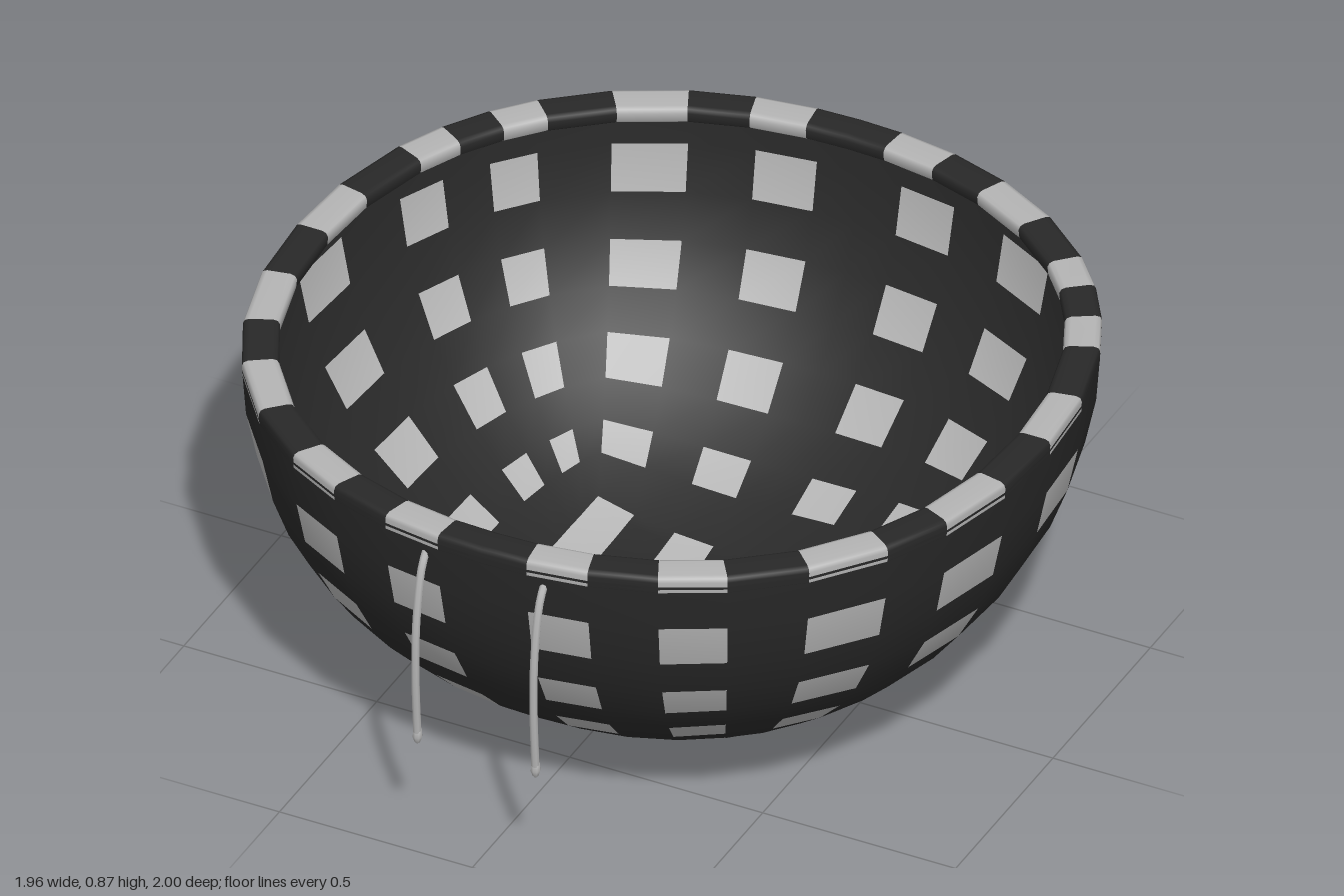
import * as THREE from 'three';
import { mergeVertices } from 'three/addons/utils/BufferGeometryUtils.js';

const DARK = 0x282828, GREY = 0xb4b4b4;
const R = 0.978, H = 0.87, ZC = -0.023;
const P = 2.16; // squareness of the outline from above
const K = 2.2; // fullness of the side profile

// Relative radius (0 centre, 1 rim) on the slightly squared outline, and bowl height there
const rho = (x, z) => Math.pow(Math.abs(x) ** P + Math.abs(z - ZC) ** P, 1 / P) / R;
const height = (r) => H * (1 - Math.max(0, 1 - r ** K) ** (1 / K));
const radiusAt = (y) => (1 - (1 - y / H) ** K) ** (1 / K);

// Slide a plan point along its ray from the centre to relative radius r
function slide([x, z], r) {
  const k = r / rho(x, z);
  return [x * k, ZC + (z - ZC) * k];
}

// Half outlines from back to front: column edges at the rim and at the floor
const rimHalf = [[0, -1], [0.11, -0.995], [0.26, -0.98], [0.41, -0.926], [0.566, -0.84],
  [0.71, -0.735], [0.79, -0.645], [0.855, -0.535], [0.91, -0.42], [0.96, -0.22], [0.97, -0.03],
  [0.95, 0.17], [0.9, 0.365], [0.83, 0.52], [0.71, 0.68], [0.56, 0.8], [0.42, 0.88],
  [0.265, 0.94], [0.115, 0.95], [0, 0.95]];
const F = [0, 0.17, 0.45, 0.74, 1];
const BACK = [0.36, -0.36], FRONT = [0.365, 0.42];
const side = [[0.365, -0.33], [0.37, -0.29], [0.375, -0.25], [0.38, -0.19], [0.385, -0.12],
  [0.385, -0.03], [0.385, 0.09], [0.38, 0.18], [0.375, 0.29], [0.37, 0.36]];
const floorHalf = [
  ...F.map((f) => [f * BACK[0], BACK[1]]),
  ...side,
  ...[...F].reverse().map((f) => [f * FRONT[0], FRONT[1]]),
];
const fullLoop = (half) => [...half, ...half.slice(1, -1).reverse().map(([x, z]) => [-x, z])];
const rimLoop = fullLoop(rimHalf).map((p) => slide(p, 1));
const floorLoop = fullLoop(floorHalf);
const N = rimLoop.length;
const halfCell = (j) => (j < N / 2 ? j : N - 1 - j);

// One smooth surface split into a dark and a grey mesh
function checkered(name, quads) {
  const pos = quads.flatMap(({ c: [a, b, c, d] }) => [a, b, c, a, c, d].flat());
  let geo = new THREE.BufferGeometry();
  geo.setAttribute('position', new THREE.Float32BufferAttribute(pos, 3));
  geo = mergeVertices(geo, 1e-5);
  geo.computeVertexNormals();
  const index = Array.from(geo.index.array);
  const group = new THREE.Group();
  group.name = name;
  for (const grey of [false, true]) {
    const part = new THREE.BufferGeometry();
    part.setAttribute('position', geo.attributes.position);
    part.setAttribute('normal', geo.attributes.normal);
    part.setIndex(index.filter((_, i) => quads[Math.floor(i / 6)].grey === grey));
    const mesh = new THREE.Mesh(part, new THREE.MeshStandardMaterial({
      color: grey ? GREY : DARK, side: THREE.DoubleSide }));
    mesh.name = name + (grey ? 'GreyChecks' : 'DarkWeave');
    group.add(mesh);
  }
  return group;
}

// Wall rings with a checked weave, closed by a striped floor
function bowl() {
  const quads = [];
  const rows = [0.11, 0.155, 0.22, 0.3, 0.39, 0.49, 0.6, 0.72, 0.845].map(radiusAt);
  const BASE = 0.42;
  const onBowl = ([x, z]) => [x, height(rho(x, z)), z];
  const rings = [floorLoop.map(onBowl)];
  for (const r of rows) {
    const s = (r - BASE) / (1 - BASE);
    rings.push(floorLoop.map((f, j) => {
      const q = [0, 1].map((k) => f[k] + (rimLoop[j][k] - f[k]) * s);
      // Rings near the floor follow its squarish corners
      return onBowl(slide(q, r + (rho(...f) - BASE) * (1 - s) ** 1.5));
    }));
  }
  for (let i = 0; i < rows.length; i++) {
    for (let j = 0; j < N; j++) {
      const h = halfCell(j), n = (j + 1) % N;
      const stripeEnd = h >= 15 && i === 0;
      quads.push({
        c: [rings[i][j], rings[i + 1][j], rings[i + 1][n], rings[i][n]],
        grey: h % 2 === 1 && (i % 2 === 1 || stripeEnd),
      });
    }
  }
  const at = (i, k) => {
    const [x, z] = floorHalf[k];
    return onBowl([Math.sign(i) * F[Math.abs(i)] * x, z]);
  };
  for (let k = 4; k < 15; k++) {
    for (let i = -4; i < 4; i++) {
      quads.push({
        c: [at(i, k), at(i + 1, k), at(i + 1, k + 1), at(i, k + 1)],
        grey: Math.min(Math.abs(i), Math.abs(i + 1)) % 2 === 1,
      });
    }
  }
  return checkered('bowl', quads);
}

// Rounded band around the opening: inward offset and height
function rim() {
  const profile = [[0.003, 0.822], [0.001, 0.83], [0, 0.857], [0.004, 0.866], [0.014, 0.87],
    [0.07, 0.87], [0.08, 0.866], [0.085, 0.857], [0.083, 0.835], [0.07, 0.824]];
  const point = (m, j) => {
    const [d, y] = profile[m % profile.length];
    const [x, z] = slide(rimLoop[j % N], 1 - d / R);
    return [x, y, z];
  };
  const quads = [];
  for (let m = 0; m < profile.length; m++) {
    for (let j = 0; j < N; j++) {
      quads.push({
        c: [point(m, j), point(m + 1, j), point(m + 1, j + 1), point(m, j + 1)],
        grey: halfCell(j) % 2 === 1,
      });
    }
  }
  return checkered('rim', quads);
}

// Hanging cord with a pointed, slightly thicker tip
function cord(x) {
  const group = new THREE.Group();
  group.name = x > 0 ? 'leftCord' : 'rightCord';
  const mat = new THREE.MeshStandardMaterial({ color: GREY });
  const path = new THREE.CatmullRomCurve3([[0.81, 0.93], [0.77, 0.957], [0.63, 0.985],
    [0.48, 0.989], [0.31, 0.979]].map(([y, z]) => new THREE.Vector3(x, y, z)));
  const strand = new THREE.Mesh(new THREE.TubeGeometry(path, 20, 0.01, 8), mat);
  strand.name = 'cordStrand';
  const tip = new THREE.Mesh(new THREE.LatheGeometry([[0, -0.022], [0.007, -0.015], [0.012, 0],
    [0.01, 0.022], [0, 0.024]].map(([r, y]) => new THREE.Vector2(r, y)), 8), mat);
  tip.name = 'cordTip';
  tip.position.set(x, 0.31, 0.979);
  group.add(strand, tip);
  return group;
}

export function createModel() {
  const model = new THREE.Group();
  model.name = 'wovenBasket';
  model.add(bowl(), rim(), cord(0.153), cord(-0.153));
  return model;
}
